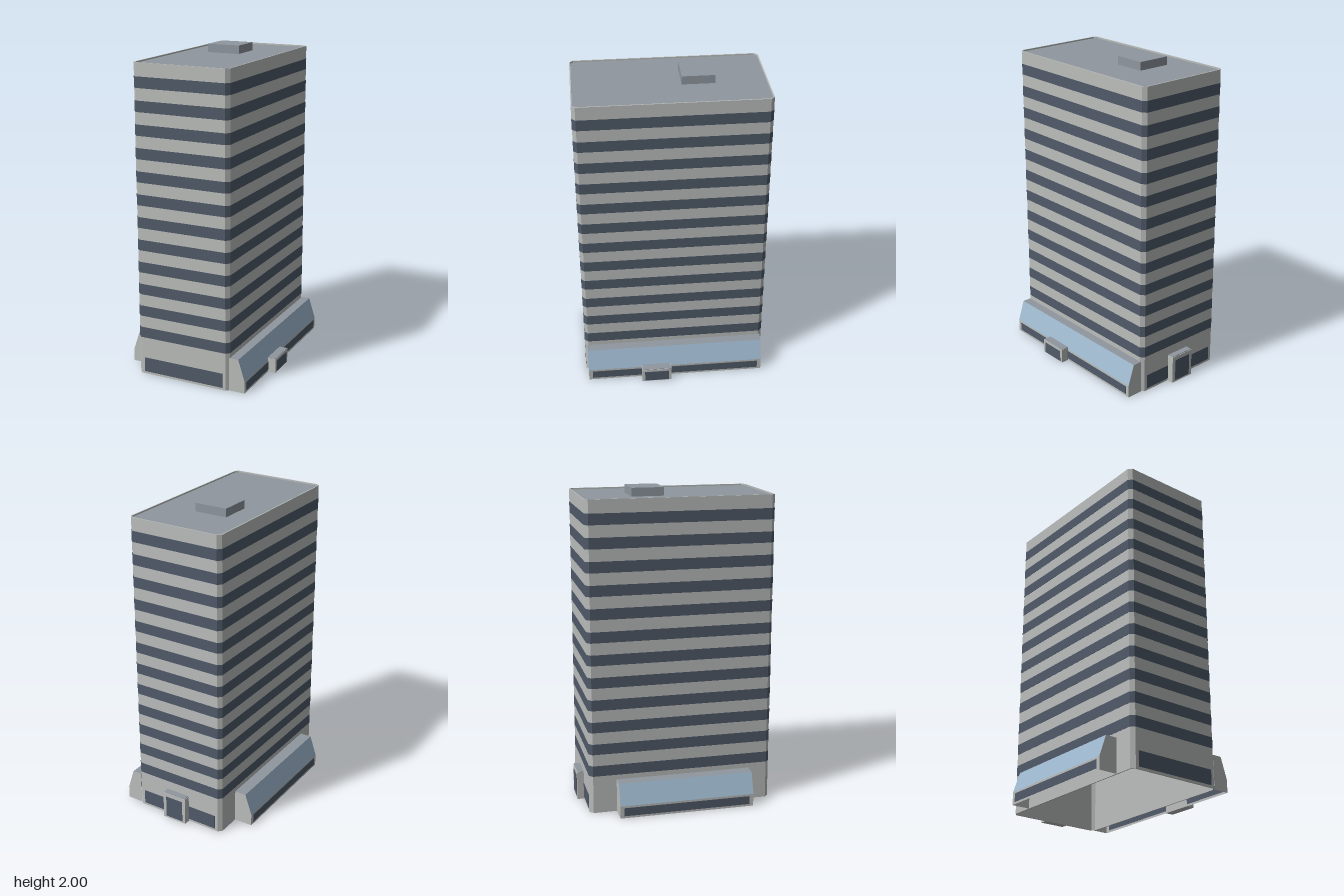
import * as THREE from 'three';

const mat = (name, color, side = THREE.FrontSide) => {
  const m = new THREE.MeshStandardMaterial({ color, side });
  m.name = name;
  return m;
};

export function createModel() {
  const wall = mat('concrete', 0xbbbebc, THREE.DoubleSide);
  const dark = mat('darkWindow', 0x4f5a68);
  const roof = mat('roofGrey', 0x8f979f, THREE.DoubleSide);
  const glass = mat('blueGlass', 0x9fbad0, THREE.DoubleSide);

  const model = new THREE.Group();
  const add = (name, geo, material, parent = model) => {
    const mesh = new THREE.Mesh(geo, material);
    mesh.name = name;
    parent.add(mesh);
    return mesh;
  };

  // Box given by its minimum and maximum corners
  const box = (name, [x0, y0, z0], [x1, y1, z1], material, parent) =>
    add(name, new THREE.BoxGeometry(x1 - x0, y1 - y0, z1 - z0)
      .translate((x0 + x1) / 2, (y0 + y1) / 2, (z0 + z1) / 2), material, parent);

  // Flat convex polygon as a triangle fan
  const panel = (name, pts, material, parent) => {
    const pos = [];
    for (let i = 1; i < pts.length - 1; i++) pos.push(...pts[0], ...pts[i], ...pts[i + 1]);
    const geo = new THREE.BufferGeometry();
    geo.setAttribute('position', new THREE.Float32BufferAttribute(pos, 3));
    geo.computeVertexNormals();
    return add(name, geo, material, parent);
  };

  // Tower plan: rectangle with clipped corners, grown by g
  const X0 = -0.33, X1 = 0.297, Z0 = -0.563, Z1 = 0.605;
  const plan = (g) => {
    const c = 0.022 + g * 0.586;
    const a = X0 - g, b = X1 + g, n = -Z1 - g, f = -Z0 + g;
    return [[a + c, n], [b - c, n], [b, n + c], [b, f - c],
      [b - c, f], [a + c, f], [a, f - c], [a, n + c]].map(([x, y]) => new THREE.Vector2(x, y));
  };
  const slab = (outer, inner, y0, y1) => {
    const shape = new THREE.Shape(plan(outer));
    if (inner !== null) shape.holes.push(new THREE.Path(plan(inner)));
    return new THREE.ExtrudeGeometry(shape, { depth: y1 - y0, bevelEnabled: false })
      .rotateX(-Math.PI / 2).translate(0, y0, 0);
  };

  // Hollow tower, open below, with a parapet round the roof
  add('towerWalls', slab(0, -0.007, 0, 1.957), wall);
  add('towerRoof', slab(-0.006, null, 1.935, 1.948), roof);
  box('roofHouse', [-0.17, 1.945, -0.25], [0.045, 2, -0.05], roof);

  // Wrap-around window bands
  const bands = new THREE.Group();
  bands.name = 'windowBands';
  model.add(bands);
  for (let i = 0; i < 12; i++) {
    const y = 0.277 + i * 0.1422;
    add('windowBand', slab(0.001, -0.001, y - 0.034, y + 0.034), dark, bands);
  }

  // Ground floor windows
  box('frontWindow', [-0.287, 0.015, Z1 - 0.002], [0.255, 0.108, Z1 + 0.002], dark);
  box('backWindow', [-0.287, 0.015, Z0 - 0.002], [0.255, 0.108, Z0 + 0.002], dark);

  // Side wings with sloping glass, open below
  const wing = (name, s, xi, xm, xo, z0, z1) => {
    const g = new THREE.Group();
    g.name = name;
    model.add(g);
    const top = 0.212, sill = 0.08;
    const strip = (part, xa, ya, xb, yb, m) =>
      panel(part, [[xa, ya, z0], [xa, ya, z1], [xb, yb, z1], [xb, yb, z0]], m, g);
    strip('wingRoof', xi, top, xm, top, roof);
    strip('slopingGlass', xm, top, xo, sill, glass);
    strip('wingWall', xo, sill, xo, 0, wall);
    for (const z of [z0, z1])
      panel('wingEnd', [[xi, 0, z], [xo, 0, z], [xo, sill, z], [xm, top, z], [xi, top, z]], wall, g);
    const e = [xo - 0.0005 * s, xo + 0.002 * s].sort((a, b) => a - b);
    box('wingWindow', [e[0], 0.014, z0 + 0.025], [e[1], 0.067, z1 - 0.025], dark, g);
  };
  wing('leftWing', 1, 0.293, 0.354, 0.396, -0.55, 0.59);
  wing('rightWing', -1, -0.328, -0.405, -0.45, -0.393, 0.465);

  // Side entrance
  const side = new THREE.Group();
  side.name = 'sideEntrance';
  model.add(side);
  box('porch', [0.393, 0, 0.05], [0.446, 0.092, 0.242], wall, side);
  box('porchRoof', [0.393, 0.092, 0.053], [0.443, 0.095, 0.239], roof, side);
  box('door', [0.445, 0.004, 0.068], [0.448, 0.076, 0.224], dark, side);

  // Back entrance
  const back = new THREE.Group();
  back.name = 'backEntrance';
  model.add(back);
  box('porch', [-0.09, 0, -0.606], [0.075, 0.18, -0.562], wall, back);
  box('porchRoof', [-0.086, 0.18, -0.602], [0.071, 0.184, -0.562], roof, back);
  box('door', [-0.068, 0.012, -0.608], [0.053, 0.155, -0.605], dark, back);

  return model;
}
